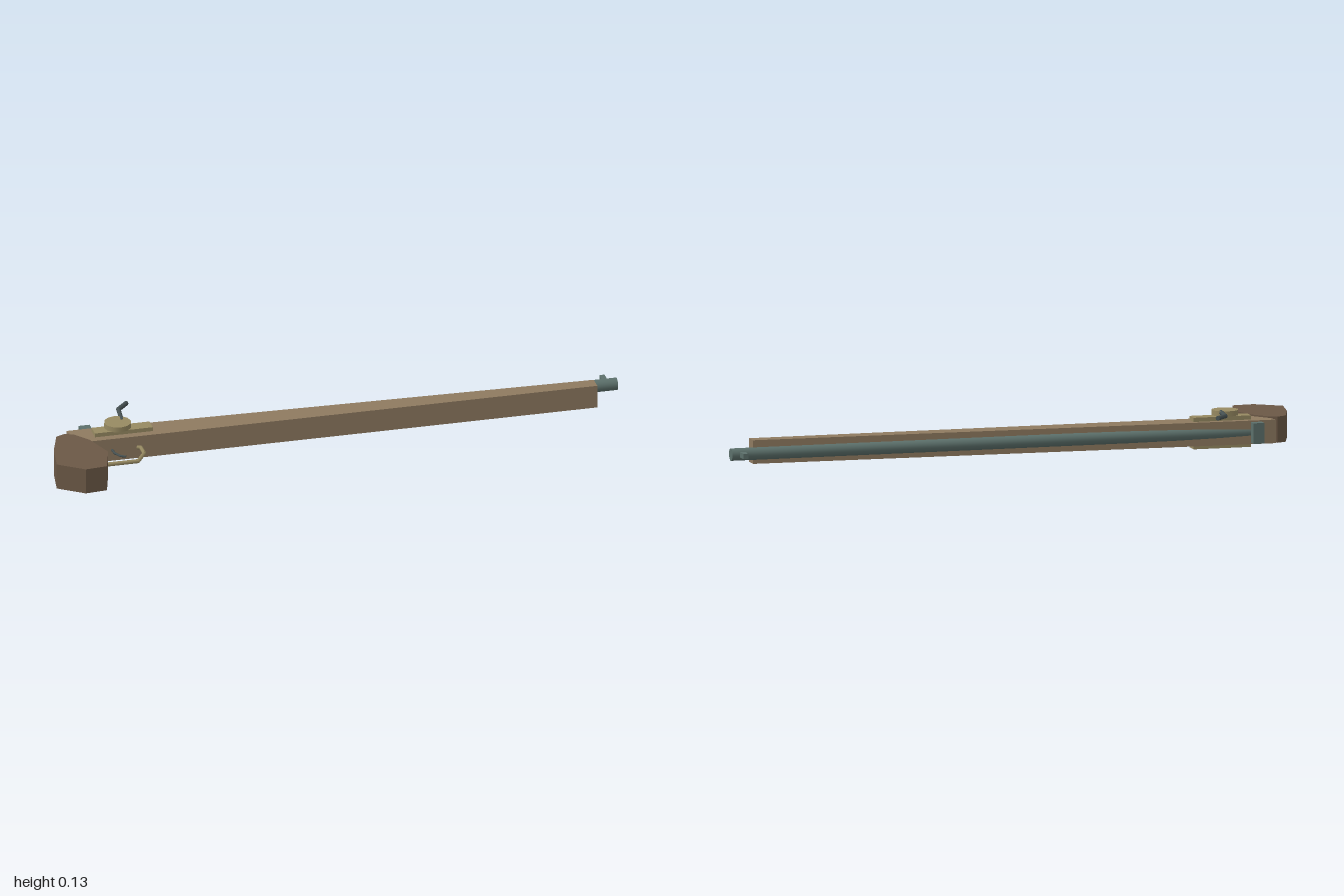
import * as THREE from 'three';

const mat = (name, color) => {
  const m = new THREE.MeshStandardMaterial({ color });
  m.name = name;
  return m;
};

export function createModel() {
  const model = new THREE.Group();
  model.name = 'longGun';
  const wood = mat('light wood', 0x8e7a60);
  const darkWood = mat('dark wood', 0x6b5846);
  const steel = mat('steel', 0x5c706b);
  const darkSteel = mat('dark steel', 0x465152);
  const brass = mat('brass', 0x978a62);

  const add = (name, geometry, material, x = 0, y = 0, z = 0) => {
    const mesh = new THREE.Mesh(geometry, material);
    mesh.name = name;
    mesh.position.set(x, y, z);
    model.add(mesh);
    return mesh;
  };

  // Slab with an outline of [x, z] points, extruded upward from y0 to y1
  const slab = (points, y0, y1) => {
    const shape = new THREE.Shape(points.map(([x, z]) => new THREE.Vector2(x, -z)));
    return new THREE.ExtrudeGeometry(shape, { depth: y1 - y0, bevelEnabled: false })
      .rotateX(-Math.PI / 2).translate(0, y0, 0);
  };

  // Bent rod of straight cylinders through [x, z] points at height y
  const rod = (name, points, y, radius, material, sides = 8) => {
    for (let i = 1; i < points.length; i++) {
      const a = new THREE.Vector3(points[i - 1][0], y, points[i - 1][1]);
      const b = new THREE.Vector3(points[i][0], y, points[i][1]);
      const length = a.distanceTo(b);
      const g = new THREE.CylinderGeometry(radius, radius, length + radius * 0.6, sides);
      const mesh = add(name + i, g, material);
      mesh.position.copy(a).add(b).multiplyScalar(0.5);
      mesh.quaternion.setFromUnitVectors(new THREE.Vector3(0, 1, 0), b.sub(a).normalize());
    }
  };

  // Tapered stock and faceted grip
  add('stock', slab([
    [-0.9, -0.107], [-0.81, -0.107], [0.912, -0.056], [0.912, -0.007], [-0.86, -0.007], [-0.89, -0.06],
  ], 0.013, 0.093), wood);
  add('grip', slab([
    [-0.915, -0.076], [-0.947, -0.062], [-0.982, 0.04], [-1, 0.15], [-0.915, 0.212],
    [-0.84, 0.205], [-0.808, 0.095], [-0.845, -0.01], [-0.885, -0.062],
  ], 0.009, 0.098), darkWood);

  // Barrel and sights
  const barrel = new THREE.CylinderGeometry(0.021, 0.021, 1.85, 24).rotateZ(Math.PI / 2);
  add('barrel', barrel, steel, 0.075, 0.053, -0.089);
  add('rearSight', new THREE.BoxGeometry(0.038, 0.07, 0.031), steel, -0.83, 0.054, -0.128);
  add('frontSight', new THREE.BoxGeometry(0.018, 0.018, 0.042), steel, 0.964, 0.054, -0.127);

  // Lock plates on both sides
  for (const [name, y] of [['upperLockPlate', 0.1], ['lowerLockPlate', 0.007]]) {
    add(name, new THREE.BoxGeometry(0.2, 0.014, 0.047), brass, -0.72, y, -0.058);
  }

  // Hammer disc on its pivot, with a cranked arm
  add('hammerPivot', new THREE.CylinderGeometry(0.018, 0.018, 0.02, 12), brass, -0.735, 0.107, -0.062);
  add('hammerDisc', new THREE.CylinderGeometry(0.046, 0.046, 0.018, 12), brass, -0.735, 0.119, -0.062);
  rod('hammerArm', [[-0.715, -0.08], [-0.705, -0.168], [-0.668, -0.208]], 0.122, 0.008, darkSteel);

  // Trigger and guard
  rod('triggerGuard', [[-0.68, -0.005], [-0.67, 0.0], [-0.67, 0.045], [-0.705, 0.1], [-0.81, 0.1]],
    0.053, 0.007, brass, 6);
  rod('trigger', [[-0.768, -0.01], [-0.766, 0.02], [-0.753, 0.046], [-0.737, 0.055]],
    0.053, 0.004, darkSteel, 6);

  return model;
}
